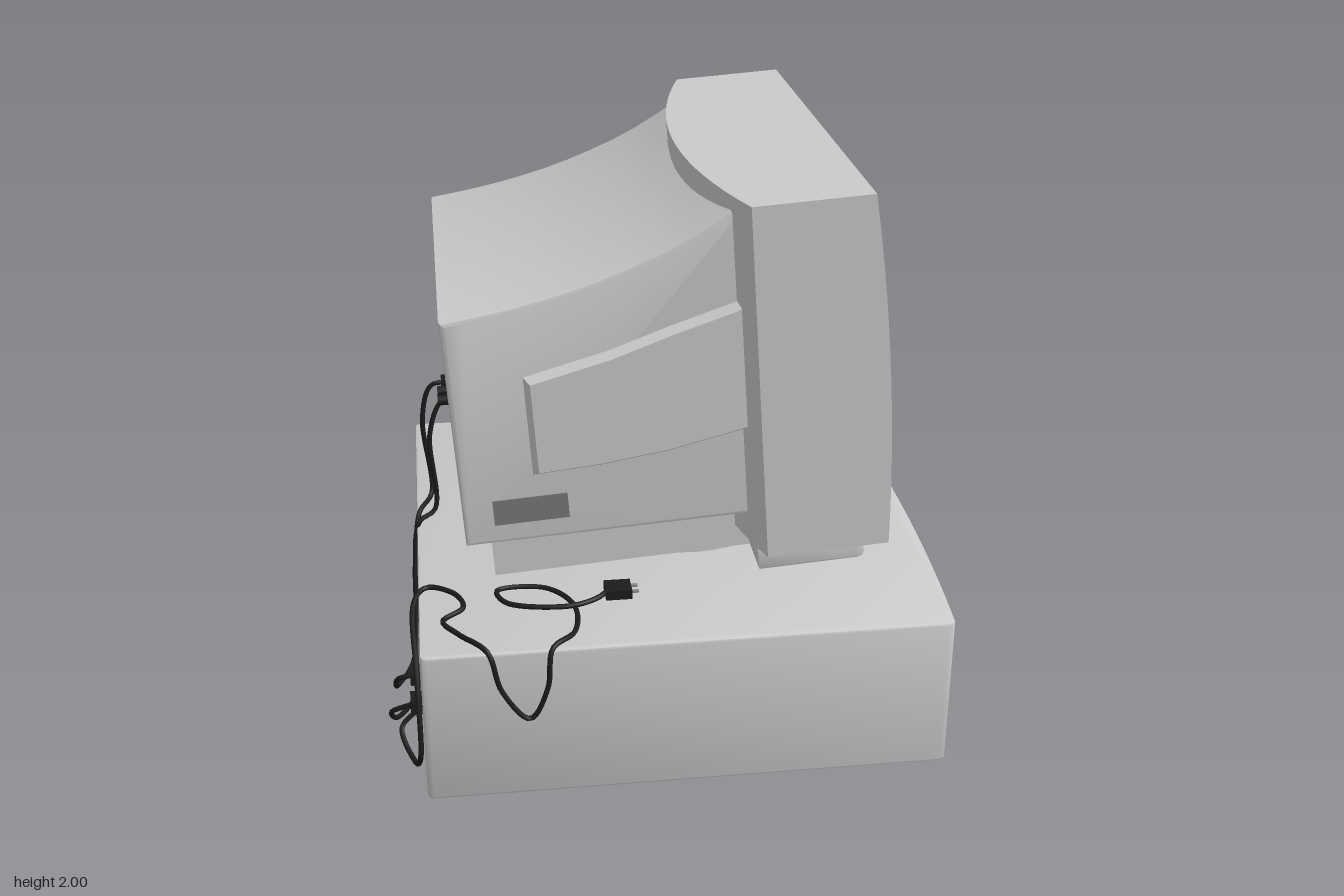
import * as THREE from 'three';
import { toCreasedNormals } from 'three/addons/utils/BufferGeometryUtils.js';

const material = (name, color) => {
  const m = new THREE.MeshStandardMaterial({ color });
  m.name = name;
  return m;
};

export function createModel() {
  const casing = material('casing grey', 0xcccccc);
  const glass = material('screen black', 0x343434);
  const vent = material('vent grey', 0x7a7a7a);
  const olive = material('pale olive', 0xc8c8aa);
  const rubber = material('cable black', 0x1c1c1c);
  const slotGrey = material('slot grey', 0x8c8c8c);

  const root = new THREE.Group();
  root.name = 'desktopComputer';
  const add = (parent, name, geo, mat, x = 0, y = 0, z = 0) => {
    const mesh = new THREE.Mesh(geo, mat);
    mesh.name = name;
    mesh.position.set(x, y, z);
    parent.add(mesh);
    return mesh;
  };
  const box = (w, h, d) => new THREE.BoxGeometry(w, h, d);
  const shapeOf = pts => new THREE.Shape(pts.map(p => new THREE.Vector2(p[0], p[1])));

  // Solid of the given outline, centred in depth, with softened rims
  const slab = (pts, thickness, bevel, inset = bevel) => {
    const depth = thickness - 2 * bevel;
    const g = new THREE.ExtrudeGeometry(shapeOf(pts), {
      depth, bevelEnabled: bevel > 0, bevelThickness: bevel, bevelSize: inset,
      bevelOffset: -inset, bevelSegments: bevel > 0.02 ? 1 : 2,
    });
    g.translate(0, 0, -depth / 2);
    return g;
  };
  // Thin rounded plate lying in the y-z plane
  const plate = (w, h, r, t = 0.009) => {
    const pts = [];
    for (let q = 0; q < 4; q++) for (let i = 0; i <= 4; i++) {
      const a = (q + i / 4) * Math.PI / 2;
      const sx = q === 0 || q === 3 ? 1 : -1, sy = q < 2 ? 1 : -1;
      pts.push([sx * (w / 2 - r) + r * Math.cos(a), sy * (h / 2 - r) + r * Math.sin(a)]);
    }
    return slab(pts, t, 0).rotateY(Math.PI / 2);
  };

  // System unit: plan outline with bowed front and rounded corners
  const unitFront = z => 0.97 - 0.04 * ((z + 0.02) / 0.91) ** 2;
  const plan = [];
  for (let i = 0; i <= 14; i++) {
    const z = 0.865 - i * 1.77 / 14;
    plan.push([unitFront(z), -z]);
  }
  plan.push([0.925, 0.922], [0.905, 0.93], [-0.83, 0.93], [-0.844, 0.924], [-0.85, 0.91],
    [-0.85, -0.87], [-0.844, -0.884], [-0.83, -0.89], [0.905, -0.89], [0.925, -0.882]);
  const unit = slab(plan, 0.55, 0.008).rotateX(-Math.PI / 2);
  add(root, 'systemUnit', toCreasedNormals(unit, 0.5), casing, 0, 0.275, 0);

  // Disk drive on the bowed front
  const drive = new THREE.Group();
  drive.name = 'diskDrive';
  drive.position.set(unitFront(-0.625), 0, -0.625);
  drive.rotation.y = 0.058;
  root.add(drive);
  add(drive, 'drivePlate', plate(0.54, 0.13, 0.02), olive, 0.001, 0.385, 0);
  add(drive, 'driveSlot', box(0.006, 0.046, 0.43), slotGrey, 0.005, 0.402, 0);
  add(drive, 'driveLip', box(0.006, 0.022, 0.42), casing, 0.008, 0.397, 0);
  for (const z of [0.16, -0.11, -0.155, -0.18])
    add(drive, 'driveButton', box(0.006, 0.014, z > 0 ? 0.05 : 0.028), slotGrey, 0.005, 0.358, z);
  add(drive, 'powerButton', box(0.009, 0.036, 0.036), vent, -0.004, 0.222, -0.212);

  // Back of the system unit
  for (const z of [-0.62, -0.02, 0.58])
    add(root, 'unitVent', box(0.009, 0.095, 0.28), vent, -0.851, 0.38, z);
  add(root, 'unitSocketPlate', plate(0.4, 0.13, 0.02), olive, -0.851, 0.17, 0.45);

  // Swivel foot
  const foot = (name, r, y0, y1) => add(root, name,
    new THREE.CylinderGeometry(r, r, y1 - y0, 40), casing, 0.137, (y0 + y1) / 2, -0.078);
  foot('swivelDisk', 0.375, 0.55, 0.603);
  foot('swivelNeck', 0.168, 0.6, 0.72);

  // Monitor, tilted back
  const monitor = new THREE.Group();
  monitor.name = 'monitor';
  monitor.position.set(0.26, 0.84, -0.083);
  monitor.rotation.z = 0.07;
  root.add(monitor);

  // Tube housing with a sweeping top
  const top = new THREE.SplineCurve([[-0.94, 0.813], [-0.703, 0.841], [-0.449, 0.894],
    [-0.192, 0.981], [0.006, 1.082], [0.07, 1.12]].map(p => new THREE.Vector2(...p)));
  const housing = [[-0.94, 0.01], [0.07, 0.005], ...top.getPoints(14).reverse().map(p => [p.x, p.y])];
  add(monitor, 'tubeHousing', toCreasedNormals(slab(housing, 1.34, 0.016), 0.5), casing);
  add(monitor, 'housingPlinth', box(0.9, 0.21, 1.11), casing, -0.407, -0.069, 0);

  // Raised side panels and vents, mirrored
  const panel = [[-0.695, 0.249], [-0.46, 0.258], [-0.241, 0.28], [0.05, 0.333],
    [0.05, 0.795], [0, 0.777], [-0.21, 0.721], [-0.415, 0.66], [-0.695, 0.6]];
  add(monitor, 'sidePanels', toCreasedNormals(slab(panel, 1.41, 0.036, 0.02), 0.4), casing);
  for (const s of [-1, 1])
    add(monitor, 'sideVent', box(0.25, 0.09, 0.009), vent, -0.713, 0.125, s * 0.669);

  // Back of the monitor
  add(monitor, 'backPanel', box(0.012, 0.5, 0.82), casing, -0.94, 0.29, 0);
  add(monitor, 'monitorSocketPlate', plate(0.56, 0.14, 0.025), olive, -0.946, 0.31, -0.04);
  for (const s of [-1, 1])
    add(monitor, 'backVent', box(0.009, 0.095, 0.28), vent, -0.94, 0.67, s * 0.33);
  for (const z of [0.04, 0.12])
    add(monitor, 'controlKnob', new THREE.CylinderGeometry(0.018, 0.018, 0.05, 12).rotateZ(Math.PI / 2),
      rubber, -0.965, 0.31, z);

  // Bezel rear block with a bowed back
  const rear = new THREE.BoxGeometry(1, 1.225, 1.61, 1, 1, 18);
  const rp = rear.attributes.position;
  for (let i = 0; i < rp.count; i++)
    rp.setX(i, rp.getX(i) < 0 ? -0.08 + 0.13 * (rp.getZ(i) / 0.805) ** 2 : 0.36);
  add(monitor, 'bezelRear', toCreasedNormals(rear, 0.5), casing, 0, 0.5205, 0);

  // Bezel frame: bulging front, opening that narrows towards the screen
  const ring = (hw, y0, y1) => {
    const pts = [];
    for (let i = 0; i <= 10; i++) pts.push([hw, y0 + (y1 - y0) * i / 10]);
    for (let i = 10; i >= 0; i--) pts.push([-hw, y0 + (y1 - y0) * i / 10]);
    return pts;
  };
  const frameShape = shapeOf(ring(0.805, -0.092, 1.133));
  frameShape.holes.push(shapeOf(ring(0.72, -0.012, 1.053)));
  const frame = new THREE.ExtrudeGeometry(frameShape, { depth: 0.1, bevelEnabled: false });
  frame.rotateY(Math.PI / 2);
  const fp = frame.attributes.position;
  for (let i = 0; i < fp.count; i++) {
    const z = fp.getZ(i);
    if (fp.getX(i) > 0.05) fp.setX(i, 0.478 - 0.07 * (fp.getY(i) - 0.4) ** 2);
    else {
      fp.setX(i, 0.36);
      if (Math.abs(z) < 0.75) fp.setZ(i, z * 0.68 / 0.72);
    }
  }
  add(monitor, 'bezelFrame', toCreasedNormals(frame, 0.5), casing);
  add(monitor, 'screen', box(0.008, 1.065, 1.365), glass, 0.364, 0.5205, 0);

  // Chin under the bezel, with rounded front corners
  const chin = [[0.03, -0.73], [0.37, -0.73], [0.392, -0.72], [0.4, -0.7],
    [0.4, 0.7], [0.392, 0.72], [0.37, 0.73], [0.03, 0.73]];
  add(monitor, 'chin', toCreasedNormals(slab(chin, 0.1, 0.008).rotateX(-Math.PI / 2), 0.5),
    casing, 0, -0.13, 0);

  // Cables
  const cable = (name, pts) => add(root, name, new THREE.TubeGeometry(
    new THREE.CatmullRomCurve3(pts.map(p => new THREE.Vector3(...p))), pts.length * 8, 0.009, 8), rubber);
  cable('monitorCable', [[-0.69, 1.035, -0.22], [-0.77, 1.03, -0.22], [-0.81, 0.9, -0.22],
    [-0.79, 0.6, -0.2], [-0.84, 0.565, -0.1], [-0.862, 0.4, -0.05], [-0.865, 0.15, 0],
    [-0.89, 0.05, 0.1], [-0.95, 0.08, 0.31], [-0.94, 0.15, 0.37], [-0.87, 0.17, 0.38]]);
  cable('monitorPowerCable', [[-0.69, 1.04, -0.09], [-0.74, 1.02, -0.085], [-0.785, 0.9, -0.07],
    [-0.78, 0.6, -0.06], [-0.84, 0.565, -0.03], [-0.865, 0.4, 0], [-0.87, 0.12, 0.1],
    [-0.88, 0.04, 0.3], [-0.95, 0.06, 0.48], [-0.965, 0.12, 0.53], [-0.87, 0.17, 0.56]]);
  cable('powerCord', [[-0.87, 0.15, 0.57], [-0.93, 0.1, 0.6], [-0.89, 0.04, 0.72],
    [-0.865, 0.15, 0.84], [-0.865, 0.4, 0.76], [-0.865, 0.55, 0.52], [-0.82, 0.562, 0.45],
    [-0.73, 0.562, 0.5], [-0.7, 0.562, 0.6], [-0.77, 0.562, 0.68], [-0.72, 0.562, 0.77],
    [-0.63, 0.558, 0.89], [-0.59, 0.42, 0.907], [-0.5, 0.305, 0.905], [-0.44, 0.42, 0.907],
    [-0.42, 0.558, 0.89], [-0.34, 0.562, 0.8], [-0.33, 0.562, 0.62], [-0.42, 0.562, 0.5],
    [-0.58, 0.562, 0.5], [-0.55, 0.562, 0.59], [-0.35, 0.565, 0.64], [-0.25, 0.57, 0.61], [-0.2, 0.573, 0.56]]);
  for (const z of [0.38, 0.56])
    add(root, 'unitPlug', box(0.05, 0.05, 0.07), rubber, -0.872, 0.17, z);
  for (const z of [-0.22, -0.09])
    add(root, 'monitorPlug', box(0.05, 0.04, 0.06), rubber, -0.71, 1.037, z);
  add(root, 'mainsPlug', box(0.09, 0.034, 0.08), rubber, -0.17, 0.57, 0.56);
  for (const z of [0.54, 0.58])
    add(root, 'mainsPin', box(0.03, 0.008, 0.012), slotGrey, -0.115, 0.572, z);

  return root;
}
